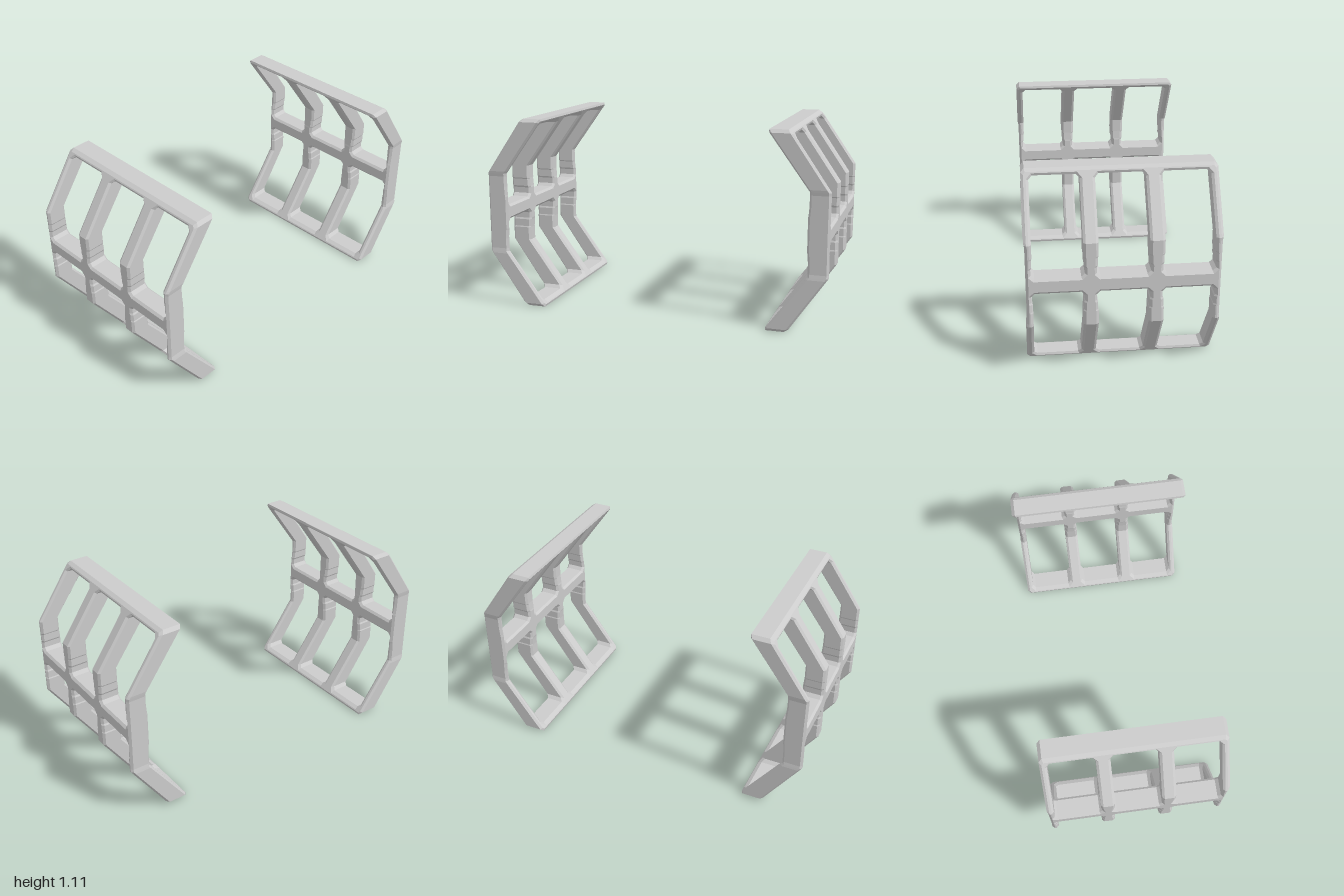
import * as THREE from 'three';

const MID = 0.555, HALF = 0.505;      // half height and half length of a panel
const BEVEL = 0.013, DEPTH_BEVEL = 0.1; // bevel width, and its share of the thickness
const CUT = 0.018;                    // corner chamfer
const RIB = 0.17;                     // centre of the middle ribs

// Bent profile, from the centre line outwards: [distance from centre, x]
const OUTER = [[0, 1], [0.232, 1], [MID, 0.778]];
const INNER = [[0, 0.88], [0.095, 0.88], [0.105, 0.882], [0.155, 0.886], [0.232, 0.886], [MID, 0.65]];

// Heights shared by every loop, with how far the ribs are slimmed there
const ROWS = [[0.095, 1], [0.105, 0.4], [0.148, 0.4], [0.155, 0], [0.215, 0], [0.232, 0], [0.245, 0]];

function sample(curve, d) {
  for (let i = 1; i < curve.length; i++) {
    const [d0, x0] = curve[i - 1], [d1, x1] = curve[i];
    if (d <= d1) return x0 + (x1 - x0) * (d - d0) / (d1 - d0);
  }
  return curve[curve.length - 1][1];
}

// Chamfered loop of [z, distance from centre]; left and right give z at a height
function loop(left, right, low, high, cutLow, cutLeft, cutRight = cutLeft) {
  const side = (edge, cut) =>
    [[low + cutLow, 1], ...ROWS, [high - cut, 0]].map(([d, slim]) => [edge(d, slim), d]);
  return [
    [right(low, 1) - cutLow, low], ...side(right, cutRight), [right(high, 0) - cutRight, high],
    [left(high, 0) + cutLeft, high], ...side(left, cutLeft).reverse(), [left(low, 1) + cutLow, low],
  ];
}

// Outer end of the panel, a little narrower around the middle
const endZ = d => HALF - 0.005 * (1 - THREE.MathUtils.smoothstep(d, 0.215, 0.245));

function panelGeometry() {
  const points = [];

  // Joins loops at given depths (0 inner face, 1 outer face) and mirrors them below the centre line
  function loft(sections, closed) {
    for (const dir of [1, -1]) {
      const rings = sections.map(([ring, t]) => ring.map(([z, d]) => new THREE.Vector3(
        THREE.MathUtils.lerp(sample(INNER, d), sample(OUTER, d), t), MID + dir * d, z)));
      for (let k = 1; k < rings.length; k++) {
        const a = rings[k - 1], b = rings[k], n = a.length;
        for (let i = 0; i < (closed ? n : n - 1); i++) {
          const j = (i + 1) % n;
          if (dir > 0) points.push(a[i], a[j], b[j], a[i], b[j], b[i]);
          else points.push(a[i], b[j], a[j], a[i], b[i], b[j]);
        }
      }
    }
  }

  const insetCut = CUT - 0.6 * BEVEL;

  // Cells: bevelled window walls and the flat faces around each window
  function cell(z0, z1, border0, border1, cut0, cut1) {
    const window = grow => loop(
      (d, slim) => z0 - 0.008 * slim - grow, (d, slim) => z1 + 0.008 * slim + grow,
      0.043 - grow, MID - 0.032 + grow, CUT + 0.6 * grow, CUT + 0.6 * grow);
    const border = loop(border0, border1, 0, MID - BEVEL, 0, cut0, cut1);
    const wall = window(0), rim = window(BEVEL);
    loft([[border, 0], [rim, 0], [wall, DEPTH_BEVEL], [wall, 1 - DEPTH_BEVEL], [rim, 1], [border, 1]], true);
  }
  const ribLeft = () => -RIB, ribRight = () => RIB;
  const capLeft = d => BEVEL - endZ(d), capRight = d => endZ(d) - BEVEL;
  cell(-0.466, -0.208, capLeft, ribLeft, insetCut, 0);
  cell(-0.13, 0.13, ribLeft, ribRight, 0, 0);
  cell(0.208, 0.466, ribRight, capRight, 0, insetCut);

  // Outside edge of the panel with its bevels
  const cap = loop(capLeft, capRight, 0, MID - BEVEL, 0, insetCut);
  const edge = loop(d => -endZ(d), endZ, 0, MID, 0, CUT);
  loft([[cap, 1], [edge, 1 - DEPTH_BEVEL], [edge, DEPTH_BEVEL], [cap, 0]], false);

  const geometry = new THREE.BufferGeometry().setFromPoints(points);
  geometry.computeVertexNormals();
  return geometry;
}

export function createModel() {
  const model = new THREE.Group();
  model.name = 'bentFramePair';
  const material = new THREE.MeshStandardMaterial({ color: 0xcccccc, flatShading: true });
  const geometry = panelGeometry();

  // Two facing panels, one turned half round
  ['leftFrame', 'rightFrame'].forEach((name, i) => {
    const frame = new THREE.Mesh(geometry, material);
    frame.name = name;
    frame.rotation.y = i * Math.PI;
    model.add(frame);
  });
  return model;
}
